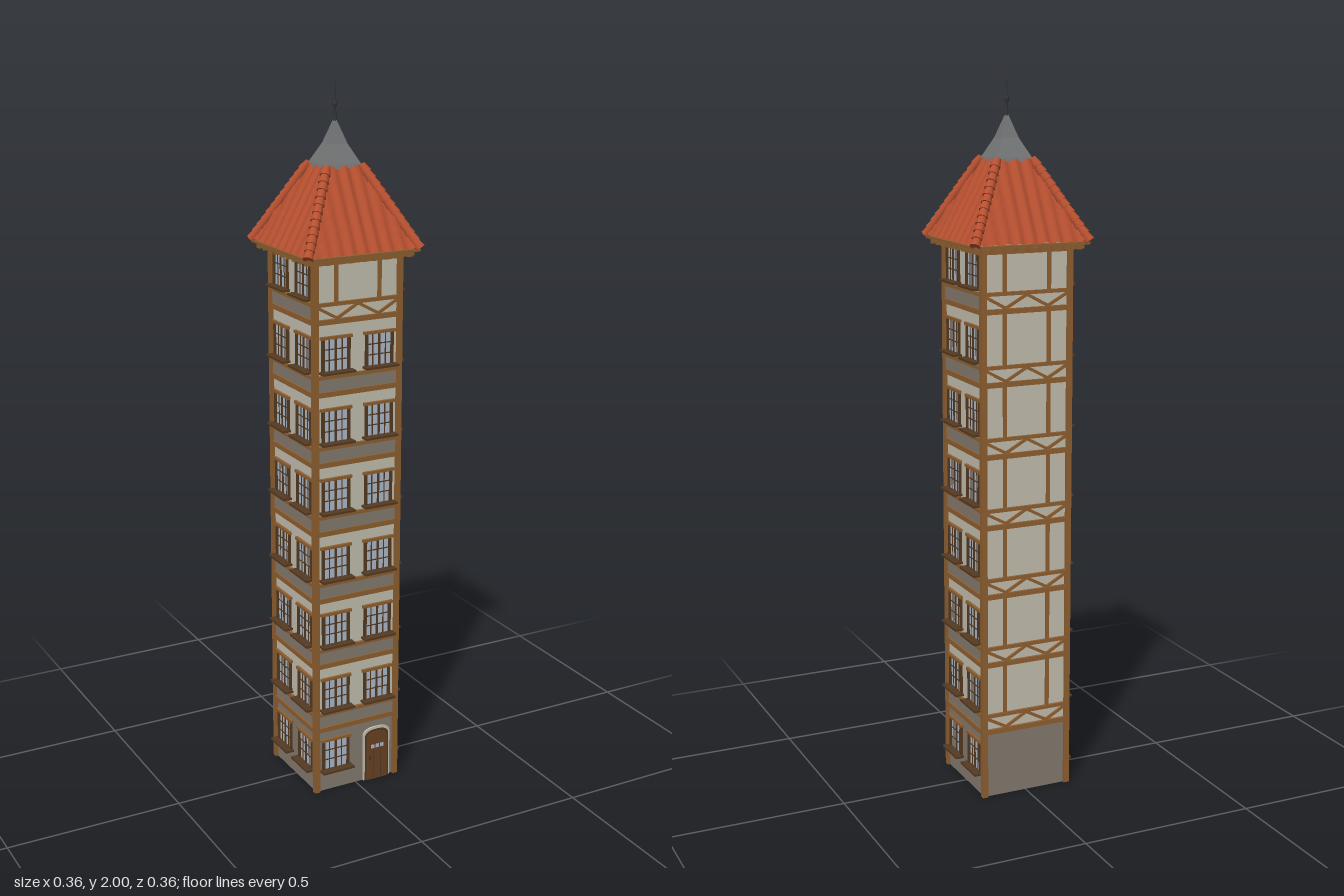
import * as THREE from 'three';

const mat = (name, color) => {
  const m = new THREE.MeshStandardMaterial({ color });
  m.name = name;
  return m;
};
const plaster = mat('plaster', 0xc4bfb0);
const stone = mat('stone', 0x857b6f);
const timber = mat('timber', 0x8f6030);
const darkWood = mat('dark wood', 0x553a22);
const glass = mat('glass', 0xaebccb);
const doorWood = mat('door wood', 0x6a4224);
const tile = mat('roof tile', 0xb85030);
tile.side = THREE.DoubleSide;
const slate = mat('slate', 0x737475);
slate.flatShading = true;
const iron = mat('iron', 0x34343c);

const PITCH = 0.197, BASE = 0.19, TOP = 1.55, WALL = 0.127;
const storeyY = i => (i === 0 ? 0 : BASE + PITCH * (i - 1));
const unitBox = new THREE.BoxGeometry(1, 1, 1);

function box(parent, name, material, w, h, d, x, y, z, tilt = 0) {
  const m = new THREE.Mesh(unitBox, material);
  m.name = name;
  m.scale.set(w, h, d);
  m.position.set(x, y, z);
  m.rotation.z = tilt;
  parent.add(m);
  return m;
}

// Window running through the wall, so it also shows inside
function addWindow(side, x, bottom) {
  const g = new THREE.Group();
  g.name = 'window';
  g.position.set(x, bottom + 0.05, WALL - 0.003);
  side.add(g);
  const w = 0.078, h = 0.088;
  box(g, 'pane', glass, w, h, 0.008, 0, 0, 0);
  for (const s of [-1, 1]) {
    box(g, 'frameUpright', darkWood, 0.008, h + 0.008, 0.018, s * w / 2, 0, 0);
    box(g, 'glazingBarUpright', darkWood, 0.003, h, 0.011, s * w / 4, 0, 0);
    box(g, 'glazingBar', darkWood, w, 0.003, 0.011, 0, s * h / 6, 0);
  }
  box(g, 'mullion', darkWood, 0.006, h, 0.014, 0, 0, 0);
  box(g, 'lintel', timber, w + 0.018, 0.008, 0.022, 0, h / 2 + 0.003, 0);
  box(g, 'sill', darkWood, w + 0.022, 0.006, 0.036, 0, -h / 2 - 0.003, 0.01);
}

function archShape(w, h) {
  const s = new THREE.Shape();
  const r = w / 2, spring = h - 0.022;
  s.moveTo(-r, 0);
  s.lineTo(r, 0);
  s.lineTo(r, spring);
  s.quadraticCurveTo(r, h, 0, h);
  s.quadraticCurveTo(-r, h, -r, spring);
  s.lineTo(-r, 0);
  return s;
}

function addDoor(side, x) {
  const g = new THREE.Group();
  g.name = 'door';
  g.position.set(x, 0, WALL);
  side.add(g);
  const layer = (name, material, w, h, from, to) => {
    const geo = new THREE.ExtrudeGeometry(archShape(w, h), { depth: to - from, bevelEnabled: false, curveSegments: 8 });
    const m = new THREE.Mesh(geo, material);
    m.name = name;
    m.position.z = from;
    g.add(m);
  };
  layer('doorSurround', plaster, 0.086, 0.164, 0, 0.005);
  layer('doorFrame', darkWood, 0.076, 0.157, -0.008, 0.007);
  layer('doorLeaf', doorWood, 0.066, 0.151, -0.010, 0.009);
  for (const k of [-1, 0, 1]) box(g, 'doorPane', glass, 0.01, 0.011, 0.003, k * 0.015, 0.105, 0.009);
  for (const k of [-1, 1]) box(g, 'doorGroove', darkWood, 0.002, 0.09, 0.002, k * 0.012, 0.05, 0.009);
  box(g, 'doorHandle', iron, 0.004, 0.01, 0.006, -0.024, 0.07, 0.011);
}

// Timber-framed storey without windows: zigzag braces and two studs
function addFramedPanel(side, b, top) {
  const step = 0.062, rise = 0.034;
  for (let k = 0; k < 4; k++) {
    const dir = k % 2 ? 1 : -1;
    box(side, 'brace', timber, Math.hypot(step, rise), 0.008, 0.007, (k - 1.5) * step, b + 0.029, WALL + 0.002, dir * Math.atan2(rise, step));
  }
  for (const s of [-1, 1]) box(side, 'stud', timber, 0.01, top - b - 0.05, 0.008, s * 0.065, (b + 0.05 + top) / 2, WALL + 0.002);
}

// One wall facing local +z; kind is front, back or flank
function buildSide(kind) {
  const side = new THREE.Group();
  side.name = kind + 'Wall';
  const outer = 0.254;
  box(side, 'groundFloorWall', stone, outer, BASE, 0.004, 0, BASE / 2, WALL - 0.002);
  box(side, 'upperWall', plaster, outer, TOP - BASE, 0.004, 0, (TOP + BASE) / 2, WALL - 0.002);
  box(side, 'innerLining', plaster, outer, TOP, 0.002, 0, TOP / 2, WALL - 0.005);
  for (let i = 0; i < 8; i++) {
    const b = storeyY(i), top = i === 7 ? TOP : storeyY(i + 1);
    const framed = kind === 'back' || (kind === 'front' && i === 7);
    if (i > 0) {
      box(side, 'floorBeam', timber, outer, 0.014, 0.012, 0, b + 0.004, WALL + 0.002);
      box(side, 'railBeam', timber, outer, 0.01, 0.012, 0, b + 0.051, WALL + 0.002);
      if (!framed) box(side, 'stoneBand', stone, outer, 0.036, 0.004, 0, b + 0.028, WALL + 0.001);
    }
    if (framed) {
      if (i > 0) addFramedPanel(side, b, top);
      continue;
    }
    addWindow(side, -0.066, b + 0.061);
    if (kind === 'front' && i === 0) addDoor(side, 0.066);
    else addWindow(side, 0.066, b + 0.061);
  }
  box(side, 'wallPlate', timber, 0.27, 0.014, 0.014, 0, 1.535, WALL + 0.003);
  // Eaves
  box(side, 'eaveBoard', timber, 0.336, 0.007, 0.02, 0, 1.55, 0.158);
  for (let k = -4; k <= 4; k++) box(side, 'rafterTail', timber, 0.013, 0.014, 0.04, k * 0.035, 1.54, 0.142);
  return side;
}

// Wavy pantile slope on local +z
function roofSlope() {
  const geo = new THREE.PlaneGeometry(1, 1, 72, 8);
  const p = geo.attributes.position;
  for (let i = 0; i < p.count; i++) {
    const v = p.getY(i) + 0.5;
    const half = THREE.MathUtils.lerp(0.167, 0.052, v);
    const x = p.getX(i) * 2 * half;
    const wave = 0.003 * Math.cos(x * 2 * Math.PI / 0.037);
    p.setXYZ(i, x, THREE.MathUtils.lerp(1.556, 1.768, v) + wave * 0.5, half + wave * 0.87);
  }
  geo.computeVertexNormals();
  const m = new THREE.Mesh(geo, tile);
  m.name = 'roofSlope';
  return m;
}

// Overlapping tapered tiles along the hip in the +x +z corner
function hipTiles() {
  const g = new THREE.Group();
  g.name = 'hipTiles';
  const a = new THREE.Vector3(0.166, 1.557, 0.166), b = new THREE.Vector3(0.052, 1.768, 0.052);
  const count = 12, len = a.distanceTo(b) / count;
  const geo = new THREE.CylinderGeometry(0.0105, 0.0145, len * 1.2, 12);
  const dir = b.clone().sub(a).normalize();
  for (let i = 0; i < count; i++) {
    const m = new THREE.Mesh(geo, tile);
    m.name = 'hipTile';
    m.position.lerpVectors(a, b, (i + 0.5) / count);
    m.quaternion.setFromUnitVectors(new THREE.Vector3(0, 1, 0), dir);
    g.add(m);
  }
  return g;
}

const profile = pts => pts.map(([r, y]) => new THREE.Vector2(r, y));

export function createModel() {
  const model = new THREE.Group();
  model.name = 'tower';
  ['front', 'flank', 'back', 'flank'].forEach((kind, i) => {
    const quarter = new THREE.Group();
    quarter.name = 'quarter';
    quarter.rotation.y = i * Math.PI / 2;
    quarter.add(buildSide(kind), roofSlope(), hipTiles());
    box(quarter, 'cornerPost', timber, 0.016, TOP, 0.016, 0.127, TOP / 2, 0.127);
    model.add(quarter);
  });

  // Four-sided spire cap with a slight flare
  const q = Math.SQRT2;
  const cap = new THREE.Mesh(new THREE.LatheGeometry(profile([[0, 1.762], [0.055 * q, 1.762], [0.051 * q, 1.772], [0.025 * q, 1.822], [0.004, 1.885], [0, 1.886]]), 4), slate);
  cap.name = 'spireCap';
  cap.rotation.y = Math.PI / 4;
  model.add(cap);

  // Finial
  const finial = new THREE.Mesh(new THREE.LatheGeometry(profile([[0.005, 1.87], [0.004, 1.905], [0.003, 1.915], [0.007, 1.922], [0.007, 1.928], [0.003, 1.936], [0.0028, 1.96], [0, 2]]), 10), iron);
  finial.name = 'finial';
  model.add(finial);
  return model;
}
